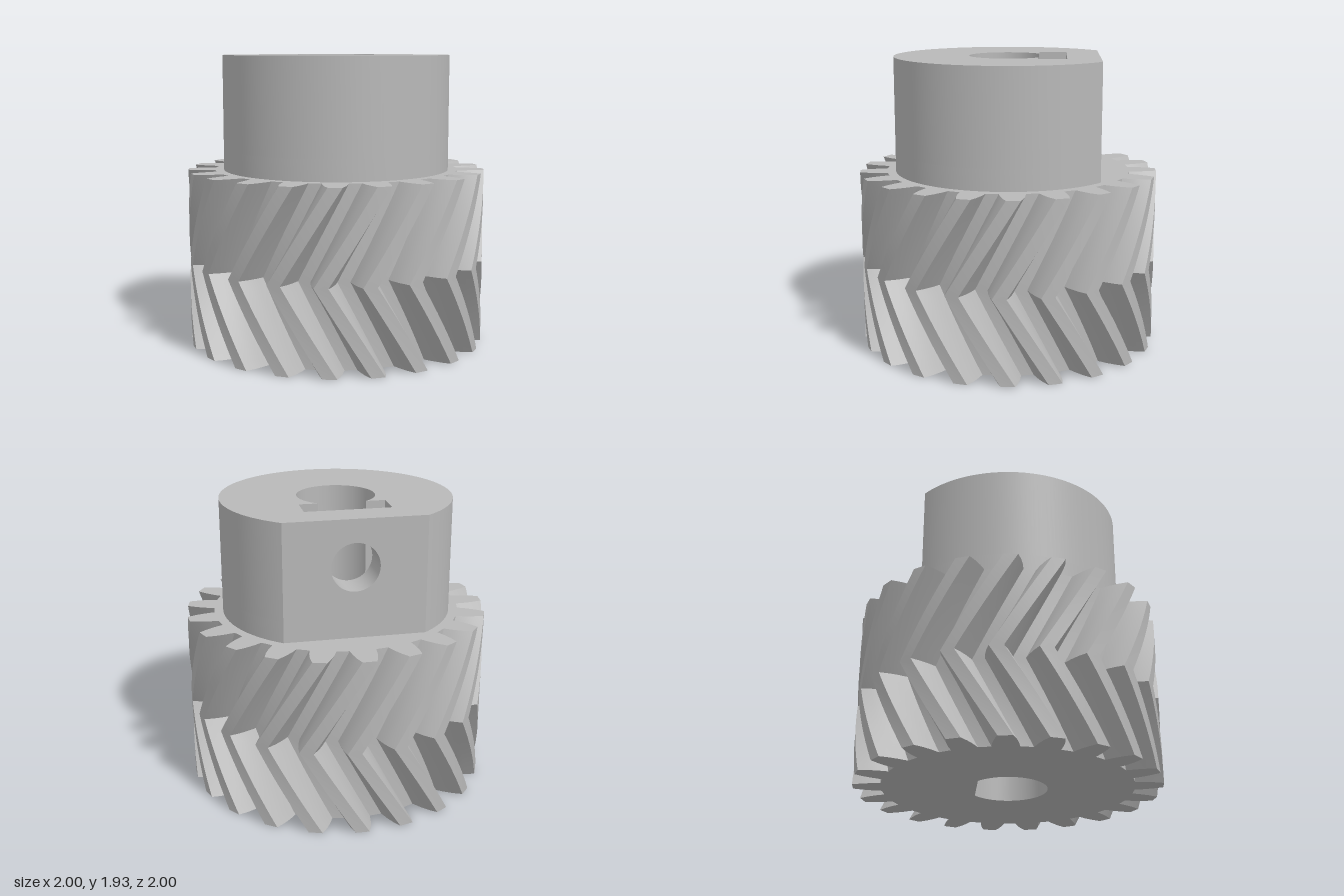
import * as THREE from 'three';
import { toCreasedNormals } from 'three/addons/utils/BufferGeometryUtils.js';

const TEETH = 21, GEAR_H = 1.17, MID = 11 / 23 * GEAR_H, TWIST = 0.63;
const HUB_R = 0.76, FLAT = 0.61, TOP = 1.935;
const BORE_R = 0.257, BORE_FLAT = 0.205;
const SLOT_W = 0.28, SLOT_BACK = 0.39, SLOT_FLOOR = 1.31;
const hubA = Math.asin(FLAT / HUB_R), boreA = Math.asin(BORE_FLAT / BORE_R);

// D-shaped shaft bore
function boreArc(path) {
  return path.absarc(0, 0, BORE_R, Math.PI - boreA, 2 * Math.PI + boreA, false);
}

// Extrude a plan outline upwards between two heights (outline +y is the back)
function extrudeUp(shape, y0, y1, steps = 1) {
  const g = new THREE.ExtrudeGeometry(shape, { depth: y1 - y0, steps, bevelEnabled: false, curveSegments: 64 });
  return g.rotateX(-Math.PI / 2).translate(0, y0, 0);
}

// Herringbone gear: tooth outline extruded, then turned one way below and the other way above
function gearGeometry() {
  const flank = [[0.1007, 0.82], [0.087, 0.88], [0.069, 0.94], [0.045, 1]];
  const half = [...flank.map(([a, r]) => [-a, r]), ...flank.slice().reverse()];
  const pts = [];
  for (let i = 0; i < TEETH; i++) {
    const c = Math.PI / 2 + i * 2 * Math.PI / TEETH;
    for (const [a, r] of half) pts.push(new THREE.Vector2(r * Math.cos(c + a), r * Math.sin(c + a)));
  }
  const shape = new THREE.Shape(pts);
  shape.holes.push(boreArc(new THREE.Path()));
  const g = extrudeUp(shape, 0, GEAR_H, 23);
  const p = g.attributes.position, v = new THREE.Vector3(), up = new THREE.Vector3(0, 1, 0);
  for (let i = 0; i < p.count; i++) {
    v.fromBufferAttribute(p, i);
    if (Math.hypot(v.x, v.z) < 0.5) continue; // the bore stays straight
    v.applyAxisAngle(up, TWIST * (Math.abs(v.y - MID) - (GEAR_H - MID)));
    p.setXYZ(i, v.x, v.y, v.z);
  }
  return g;
}

// Hub below the nut slot
function hubBaseGeometry() {
  const s = new THREE.Shape();
  s.absarc(0, 0, HUB_R, hubA, Math.PI - hubA, true);
  s.closePath();
  s.holes.push(boreArc(new THREE.Path()));
  return extrudeUp(s, GEAR_H, SLOT_FLOOR);
}

// Hub around the nut slot, open at the back
function hubCollarGeometry() {
  const s = new THREE.Shape();
  s.absarc(0, 0, HUB_R, hubA, Math.PI - hubA, true);
  s.lineTo(-SLOT_W, FLAT);
  s.lineTo(-SLOT_W, BORE_FLAT);
  boreArc(s);
  s.lineTo(SLOT_W, BORE_FLAT);
  s.lineTo(SLOT_W, FLAT);
  s.closePath();
  return extrudeUp(s, SLOT_FLOOR, TOP);
}

// Wall behind the slot with the set screw hole
function screwWallGeometry() {
  const s = new THREE.Shape();
  s.moveTo(-SLOT_W, SLOT_FLOOR);
  s.lineTo(SLOT_W, SLOT_FLOOR);
  s.lineTo(SLOT_W, TOP);
  s.lineTo(-SLOT_W, TOP);
  s.closePath();
  s.holes.push(new THREE.Path().absarc(0, 1.63, 0.155, 0, 2 * Math.PI, true));
  return new THREE.ExtrudeGeometry(s, { depth: FLAT - SLOT_BACK, bevelEnabled: false, curveSegments: 40 })
    .translate(0, 0, -FLAT);
}

export function createModel() {
  const model = new THREE.Group();
  model.name = 'herringboneGear';
  const grey = new THREE.MeshStandardMaterial({ color: 0xb8b8b8 });
  grey.name = 'grey';
  const add = (name, geometry) => {
    const mesh = new THREE.Mesh(toCreasedNormals(geometry, 0.45), grey);
    mesh.name = name;
    model.add(mesh);
  };
  add('toothedGear', gearGeometry());
  add('hubBase', hubBaseGeometry());
  add('hubCollar', hubCollarGeometry());
  add('setScrewWall', screwWallGeometry());
  return model;
}
